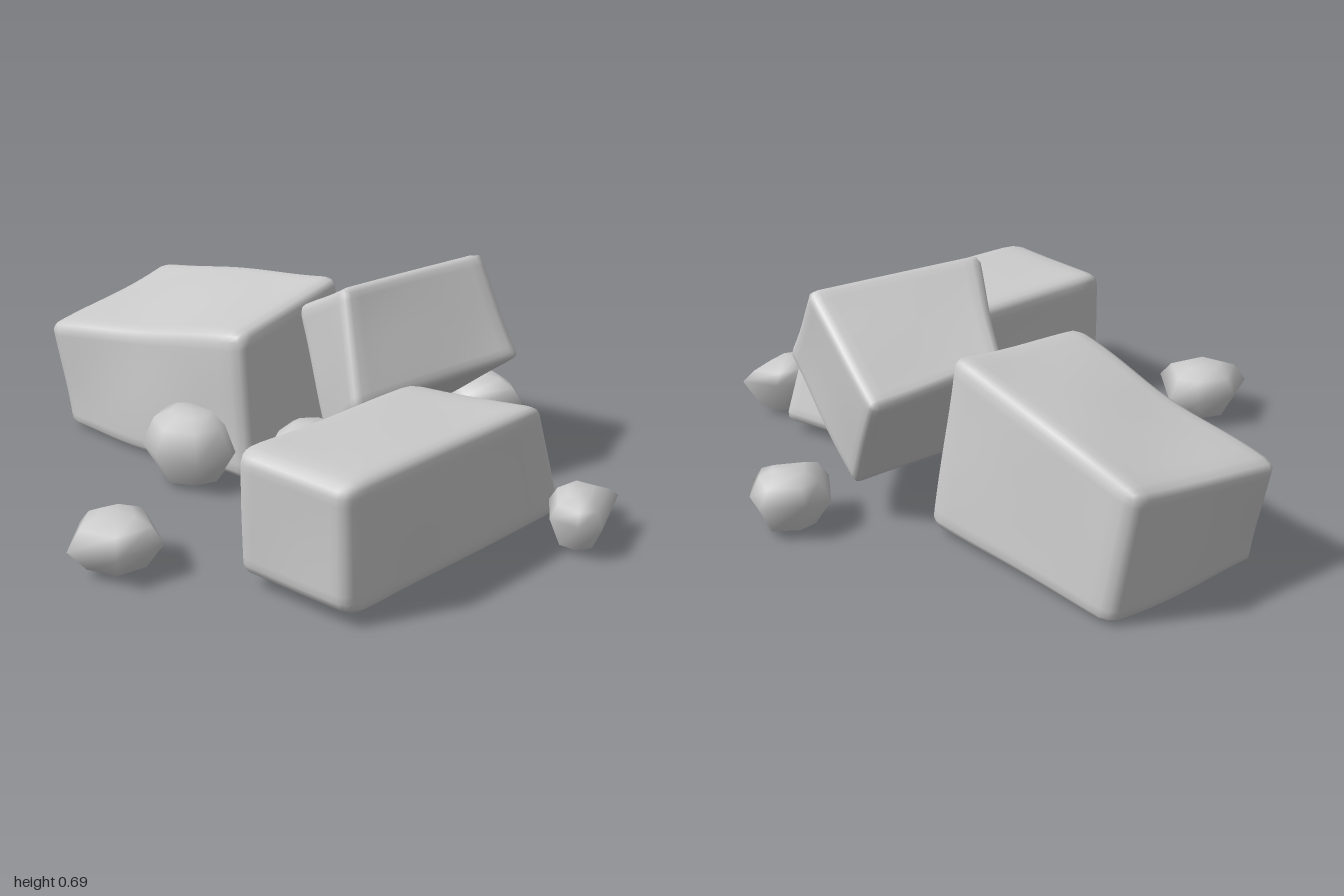
import * as THREE from 'three';
import { mergeVertices } from 'three/addons/utils/BufferGeometryUtils.js';

const material = new THREE.MeshStandardMaterial({ color: 0xcccccc, side: THREE.DoubleSide });

// A worn stone block: a rounded cube stretched between eight corners.
// Corners run around the bottom then the top: backRight, backLeft, frontLeft, frontRight
// (right = -x, left = +x). isOpen(x, z) tells where the underside is left open.
function block(name, corners, radius, bump, phase, isOpen) {
  const seg = 18;
  let geo = new THREE.BoxGeometry(2, 2, 2, seg, seg, seg);
  geo.deleteAttribute('uv');
  geo.deleteAttribute('normal');
  geo = mergeVertices(geo);
  geo.clearGroups();
  const pos = geo.attributes.position;
  const c = corners.map((p) => new THREE.Vector3(...p));
  const p = new THREE.Vector3(), inner = new THREE.Vector3();
  const k = 1 - radius;
  const lowest = Math.min(...corners.map((q) => q[1]));
  for (let i = 0; i < pos.count; i++) {
    // round the cube's edges
    p.fromBufferAttribute(pos, i);
    inner.set(...p.toArray().map((v) => THREE.MathUtils.clamp(v, -k, k)));
    p.sub(inner).setLength(radius).add(inner);
    const u = (p.x + 1) / 2, v = (p.y + 1) / 2, w = (p.z + 1) / 2;
    // blend the corners
    const out = new THREE.Vector3();
    [[1 - u, 1 - w], [u, 1 - w], [u, w], [1 - u, w]].forEach(([a, b], j) => {
      out.addScaledVector(c[j], a * b * (1 - v));
      out.addScaledVector(c[j + 4], a * b * v);
    });
    // gentle hollows in the faces
    const wave = Math.sin(out.x * 9 + phase) * Math.sin(out.y * 8 + phase * 2) * Math.cos(out.z * 8 - phase);
    out.addScaledVector(p, bump * wave);
    out.y = Math.max(out.y, lowest);
    pos.setXYZ(i, out.x, out.y, out.z);
  }
  geo.computeVertexNormals();
  // leave out the open part of the underside, the fourth of the six cube sides
  const perSide = seg * seg * 6;
  const all = Array.from(geo.index.array), kept = [];
  for (let i = 0; i < all.length; i += 3) {
    const tri = all.slice(i, i + 3);
    const underside = Math.floor(i / perSide) === 3;
    const x = tri.reduce((s, t) => s + pos.getX(t), 0) / 3;
    const z = tri.reduce((s, t) => s + pos.getZ(t), 0) / 3;
    if (!(underside && isOpen(x, z))) kept.push(...tri);
  }
  geo.setIndex(kept);
  const mesh = new THREE.Mesh(geo, material);
  mesh.name = name;
  return mesh;
}

// A small smooth stone, open underneath: its plan outline scaled at several heights.
// lean tips the upper part along x.
function pebble(name, outline, y0, y1, belly, lean = 0) {
  const n = outline.length;
  const cx = outline.reduce((s, q) => s + q[0], 0) / n;
  const cz = outline.reduce((s, q) => s + q[1], 0) / n;
  const levels = [[0, 0.62], [belly, 1], [0.84, 0.74], [0.98, 0.4]];
  const verts = [], index = [];
  levels.forEach(([h, s], l) => outline.forEach(([x, z], i) => {
    const wobble = l === 1 ? 0.06 * Math.sin(i * 2.3 + cx * 9) : 0;
    const dx = (x - cx) * s;
    verts.push(cx + dx, y0 + (y1 - y0) * (h + wobble) + lean * h * dx, cz + (z - cz) * s);
  }));
  verts.push(cx, y1, cz);
  const top = levels.length * n;
  for (let i = 0; i < n; i++) {
    const j = (i + 1) % n;
    for (let l = 0; l < levels.length - 1; l++) {
      const a = l * n + i, b = l * n + j;
      index.push(a, b, b + n, a, b + n, a + n);
    }
    index.push(top, top - n + i, top - n + j);
  }
  const geo = new THREE.BufferGeometry();
  geo.setAttribute('position', new THREE.Float32BufferAttribute(verts, 3));
  geo.setIndex(index);
  geo.computeVertexNormals();
  const mesh = new THREE.Mesh(geo, material);
  mesh.name = name;
  return mesh;
}

export function createModel() {
  const group = new THREE.Group();
  group.name = 'rubblePile';

  // large blocks
  group.add(
    block('wideBlock', [
      [-0.92, 0, -0.51], [-0.13, 0.02, -0.49], [-0.10, 0.03, 0.12], [-0.93, 0, 0.09],
      [-0.99, 0.42, -0.48], [-0.17, 0.57, -0.43], [-0.16, 0.51, 0.09], [-1.0, 0.34, 0.08],
    ], 0.13, 0.007, 0.6, (x, z) => (x + 0.92) / 0.5 - (z + 0.51) / 0.6 < 0),
    block('leaningBlock', [
      [-0.14, 0.46, -0.69], [0.07, 0.11, -0.61], [0.03, 0.13, -0.11], [-0.20, 0.50, -0.24],
      [0.26, 0.69, -0.61], [0.47, 0.41, -0.54], [0.29, 0.38, 0.09], [0.14, 0.70, -0.04],
    ], 0.10, 0.006, 1.9, () => false),
    block('longBlock', [
      [0.38, 0.02, -0.30], [0.76, 0.02, -0.38], [0.70, 0.03, 0.63], [0.26, 0.03, 0.61],
      [0.32, 0.41, -0.16], [0.75, 0.42, -0.25], [0.69, 0.44, 0.63], [0.26, 0.44, 0.61],
    ], 0.2, 0.006, 2.7, (x, z) => Math.hypot((x - 0.52) / 0.17, (z + 0.12) / 0.18) < 1),
  );

  // scattered pebbles, outlines as [x, z]
  group.add(
    pebble('nearPebble', [
      [-0.50, 0.08], [-0.46, 0.22], [-0.33, 0.30], [-0.20, 0.25], [-0.15, 0.14], [-0.20, 0.02], [-0.40, -0.01],
    ], 0.02, 0.24, 0.46),
    pebble('frontPebble', [
      [-0.17, 0.63], [-0.22, 0.75], [-0.13, 0.90], [0.03, 0.86], [0.07, 0.70], [-0.08, 0.59],
    ], 0.02, 0.18, 0.5),
    pebble('sidePebble', [
      [0.80, -0.35], [0.78, -0.24], [0.86, -0.12], [0.96, -0.12], [1.00, -0.19], [0.93, -0.39],
    ], 0.02, 0.18, 0.6, -0.12),
    pebble('backPebble', [
      [0.05, -0.80], [0.06, -0.70], [0.20, -0.60], [0.31, -0.80], [0.25, -0.86], [0.13, -0.91],
    ], 0.02, 0.19, 0.5),
    pebble('middlePebble', [
      [-0.12, -0.10], [-0.10, 0.02], [-0.04, 0.13], [0.07, 0.07], [0.17, -0.02], [0.10, -0.18], [-0.02, -0.20],
    ], 0.02, 0.22, 0.5),
  );
  return group;
}
